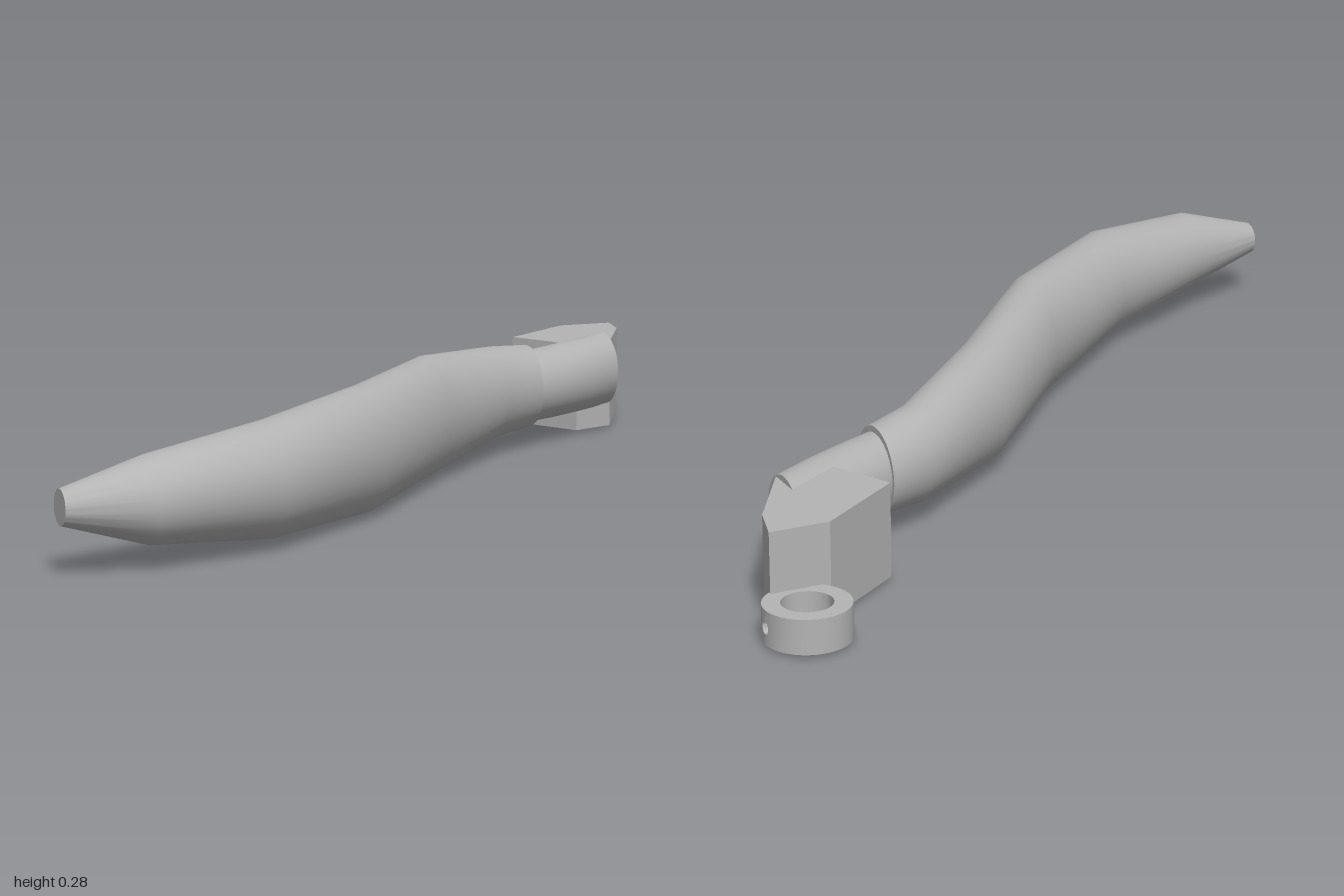
import * as THREE from 'three';
import { toCreasedNormals, mergeGeometries } from 'three/addons/utils/BufferGeometryUtils.js';

const SIDES = 40;

// Skin over upright elliptical sections: [x, centre z, centre y, half width, half height]
function loft(sections) {
  const pos = [], index = [];
  for (const [x, z, y, w, h] of sections) {
    for (let j = 0; j < SIDES; j++) {
      const a = (j / SIDES) * Math.PI * 2;
      pos.push(x, y + Math.cos(a) * h, z + Math.sin(a) * w);
    }
  }
  const last = sections.length - 1;
  const c0 = pos.length / 3, c1 = c0 + 1;
  for (const [x, z, y] of [sections[0], sections[last]]) pos.push(x, y, z);
  for (let j = 0; j < SIDES; j++) {
    const k = (j + 1) % SIDES;
    for (let i = 0; i < last; i++) {
      const a = i * SIDES, b = a + SIDES;
      index.push(a + j, a + k, b + j, a + k, b + k, b + j);
    }
    index.push(c0, k, j, c1, last * SIDES + j, last * SIDES + k);
  }
  const g = new THREE.BufferGeometry();
  g.setAttribute('position', new THREE.Float32BufferAttribute(pos, 3));
  g.setIndex(index);
  return toCreasedNormals(g, 0.6);
}

// Ring made of bent wall pieces, with a cross hole along x
function drilledRing(inner, outer, height, holeRadius) {
  const step = Math.PI / 16, parts = [];
  const piece = (start, steps, drilled) => {
    const pts = [];
    for (let i = 0; i <= steps; i++) pts.push(new THREE.Vector2((start + i * step) * outer, 0));
    for (let i = steps; i >= 0; i--) pts.push(new THREE.Vector2((start + i * step) * outer, height));
    const shape = new THREE.Shape(pts);
    if (drilled) {
      const hole = new THREE.Path();
      hole.absarc((start + steps * step / 2) * outer, height / 2, holeRadius, 0, Math.PI * 2, true);
      shape.holes.push(hole);
    }
    const g = new THREE.ExtrudeGeometry(shape, { depth: outer - inner, bevelEnabled: false, curveSegments: 8 });
    const p = g.attributes.position;
    for (let i = 0; i < p.count; i++) {
      const a = p.getX(i) / outer, r = inner + p.getZ(i);
      p.setXYZ(i, Math.cos(a) * r, p.getY(i), -Math.sin(a) * r);
    }
    parts.push(g);
  };
  for (const base of [0, Math.PI]) {
    piece(base - step, 2, true);
    for (let i = 1; i < 15; i++) piece(base + i * step, 1, false);
  }
  return toCreasedNormals(mergeGeometries(parts), 0.6);
}

export function createModel() {
  const model = new THREE.Group();
  const metal = new THREE.MeshStandardMaterial({ color: 0xb4b4b4 });
  metal.name = 'grey metal';
  const add = (name, geometry) => {
    const mesh = new THREE.Mesh(geometry, metal);
    mesh.name = name;
    model.add(mesh);
    return mesh;
  };

  // Long curved grip
  add('grip', loft([
    [-1, 0.793, 0.147, 0.038, 0.038],
    [-0.81, 0.778, 0.147, 0.092, 0.093],
    [-0.5, 0.645, 0.146, 0.125, 0.125],
    [-0.165, 0.36, 0.145, 0.14, 0.14],
    [0.14, 0, 0.145, 0.138, 0.137],
    [0.42, -0.247, 0.147, 0.105, 0.108],
    [0.535, -0.303, 0.147, 0.097, 0.098],
  ]));

  // Slimmer neck between the grip and the block
  add('neck', loft([
    [0.5, -0.285, 0.145, 0.086, 0.085],
    [0.535, -0.303, 0.145, 0.088, 0.086],
    [0.62, -0.35, 0.146, 0.094, 0.087],
    [0.72, -0.407, 0.148, 0.092, 0.088],
    [0.82, -0.472, 0.15, 0.088, 0.089],
  ]));

  // Angular mounting block, outline in x and z
  const outline = [[0.62, -0.57], [0.71, -0.39], [0.82, -0.43], [0.93, -0.62], [0.955, -0.715], [0.82, -0.715]];
  const blockShape = new THREE.Shape(outline.map(([x, z]) => new THREE.Vector2(x, -z)));
  const block = new THREE.ExtrudeGeometry(blockShape, { depth: 0.212, bevelEnabled: false });
  block.rotateX(-Math.PI / 2);
  add('mountingBlock', block).position.y = 0.013;

  // Pivot ring with a cross hole
  add('pivotRing', drilledRing(0.055, 0.094, 0.077, 0.015)).position.set(0.903, 0.013, -0.785);

  return model;
}
